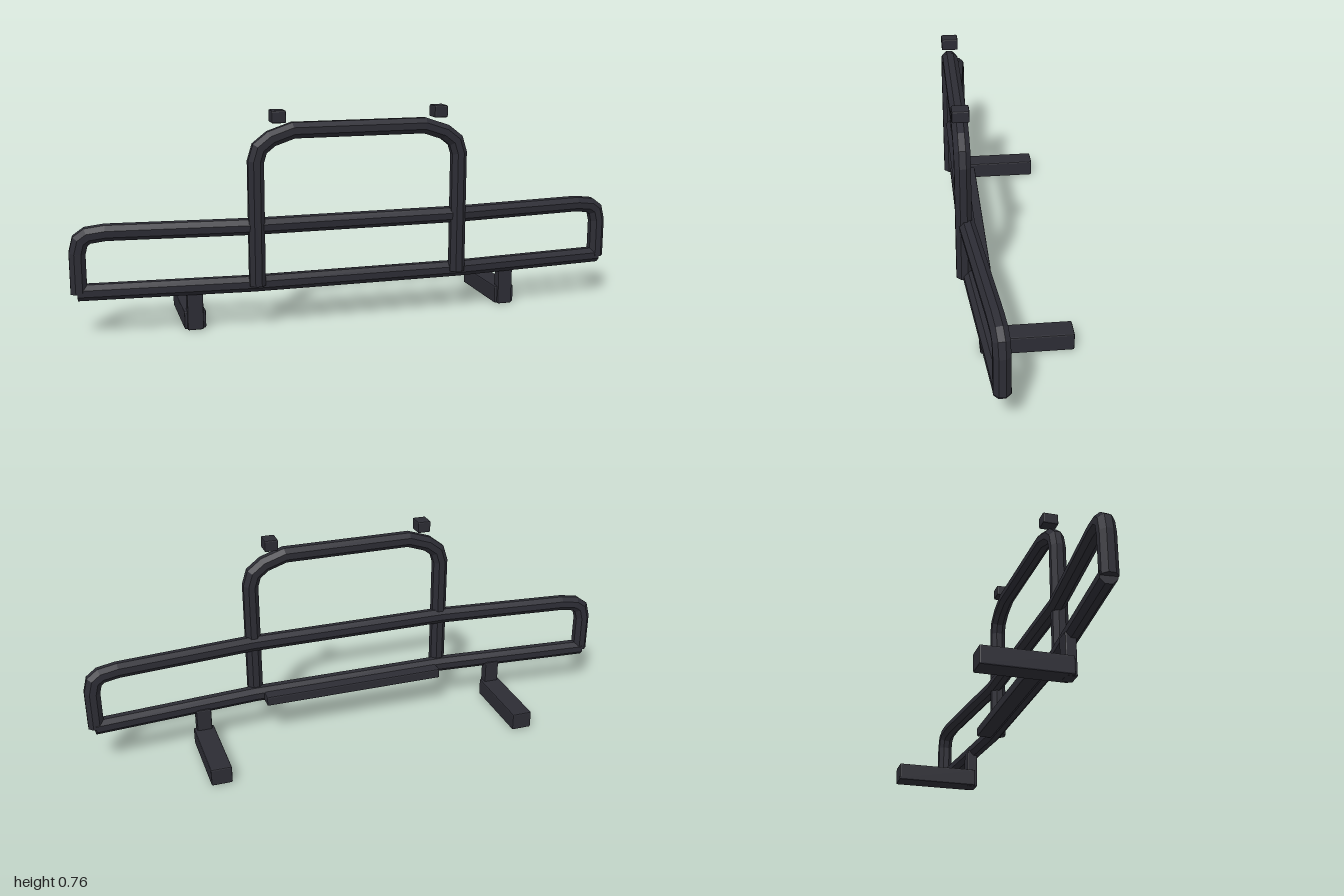
import * as THREE from 'three';
import { RoundedBoxGeometry } from 'three/addons/geometries/RoundedBoxGeometry.js';

const darkMetal = new THREE.MeshStandardMaterial({ color: 0x2c2c34, flatShading: true });
darkMetal.name = 'darkMetal';

const SIDES = 8;
const RADIUS = 0.0298;

// Eight-sided pipe along a list of points, mitred at every bend and capped
function pipeGeometry(points) {
  const n = points.length;
  const dirs = points.slice(1).map((p, i) => p.clone().sub(points[i]).normalize());
  const u = new THREE.Vector3(0, 0, 1).projectOnPlane(dirs[0]).normalize();
  const v = dirs[0].clone().cross(u);
  let ring = [];
  for (let j = 0; j < SIDES; j++) {
    const a = ((j + 0.5) / SIDES) * Math.PI * 2;
    ring.push(points[0].clone()
      .addScaledVector(u, Math.cos(a) * RADIUS)
      .addScaledVector(v, Math.sin(a) * RADIUS));
  }
  const verts = [];
  const index = [];
  ring.forEach((p) => verts.push(p.x, p.y, p.z));
  for (let i = 1; i < n; i++) {
    const d = dirs[i - 1];
    const normal = d.clone().add(dirs[i] || d).normalize();
    // slide the last ring along the pipe onto the mitre plane
    ring = ring.map((p) => {
      const t = points[i].clone().sub(p).dot(normal) / d.dot(normal);
      return p.clone().addScaledVector(d, t);
    });
    ring.forEach((p) => verts.push(p.x, p.y, p.z));
    for (let j = 0; j < SIDES; j++) {
      const k = (j + 1) % SIDES;
      const a = (i - 1) * SIDES;
      const b = i * SIDES;
      index.push(a + j, a + k, b + j, a + k, b + k, b + j);
    }
  }
  const last = (n - 1) * SIDES;
  for (let j = 1; j < SIDES - 1; j++) {
    index.push(0, j + 1, j, last, last + j, last + j + 1);
  }
  const g = new THREE.BufferGeometry();
  g.setAttribute('position', new THREE.Float32BufferAttribute(verts, 3));
  g.setIndex(index);
  const flat = g.toNonIndexed();
  flat.computeVertexNormals();
  return flat;
}

// Full symmetric path from its +x half, listed from the outside in
function mirrored(half) {
  const right = half.map(([x, y, z]) => new THREE.Vector3(-x, y, z));
  const left = half.map(([x, y, z]) => new THREE.Vector3(x, y, z)).reverse();
  return [...right, ...left];
}

export function createModel() {
  const group = new THREE.Group();
  group.name = 'bullBar';

  const add = (name, geometry) => {
    const mesh = new THREE.Mesh(geometry, darkMetal);
    mesh.name = name;
    group.add(mesh);
  };
  // Slightly bevelled box given by its minimum and maximum corners
  const box = (name, [x0, y0, z0], [x1, y1, z1]) => {
    const g = new RoundedBoxGeometry(x1 - x0, y1 - y0, z1 - z0, 1, 0.005);
    g.translate((x0 + x1) / 2, (y0 + y1) / 2, (z0 + z1) / 2);
    add(name, g);
  };

  // Rails run straight in the middle and sweep back towards the ends
  const sweptZ = (x, middle, end) => middle + (end - middle) * Math.max(0, (x - 0.38) / 0.59);

  // Central hoop
  const hoopZ = 0.1625;
  add('centreHoop', pipeGeometry(mirrored([
    [0.37, 0.155], [0.37, 0.59], [0.356, 0.635], [0.315, 0.667], [0.238, 0.693],
  ].map(([x, y]) => [x, y, hoopZ]))));

  // Upper rail with its bent-down ends
  add('upperRail', pipeGeometry(mirrored([
    [0.971, 0.155], [0.971, 0.295], [0.96, 0.337], [0.935, 0.355], [0.875, 0.363], [0.38, 0.363],
  ].map(([x, y]) => [x, y, sweptZ(x, 0.151, 0.094)]))));

  // Lower rail
  add('lowerRail', pipeGeometry(mirrored([
    [0.975, 0.157], [0.38, 0.157],
  ].map(([x, y]) => [x, y, sweptZ(x, 0.14, 0.092)]))));

  // Flat bar behind the lower rail
  box('rearCrossBar', [-0.347, 0.133, 0.07], [0.347, 0.17, 0.135]);

  // Mounting brackets and marker blocks on both sides
  for (const [side, s] of [['left', 1], ['right', -1]]) {
    const x = 0.583 * s;
    box(side + 'BracketPost', [x - 0.028, 0, 0.09], [x + 0.028, 0.15, 0.129]);
    box(side + 'BracketArm', [x - 0.038, 0.002, -0.188], [x + 0.038, 0.067, 0.119]);
    const m = 0.292 * s;
    box(side + 'MarkerBlock', [m - 0.025, 0.721, 0.132], [m + 0.025, 0.764, 0.191]);
  }
  return group;
}
